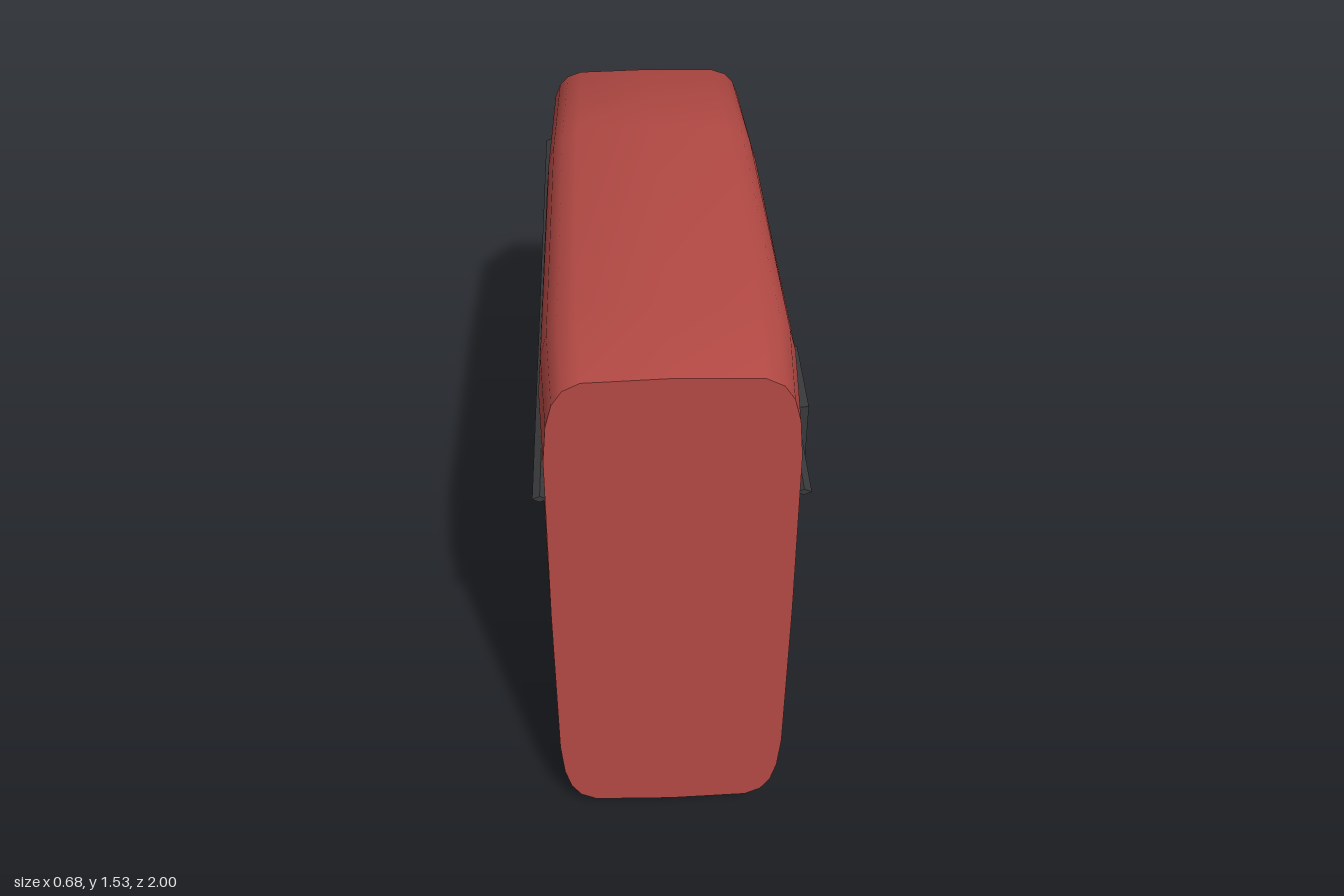
import * as THREE from 'three';
import { toCreasedNormals } from 'three/addons/utils/BufferGeometryUtils.js';

const CENTRE_X = -0.015;
const SEGMENTS = 24;

// Rounded-rectangle cross-sections, front to back: [z, bottom, top, half width]
const SECTIONS = [
  [1, 0.05, 1.51, 0.3],
  [0.75, 0, 1.53, 0.316],
  [-0.27, 0.135, 1.465, 0.316],
  [-0.78, 0.39, 1.4, 0.304],
  [-1, 0.69, 1.275, 0.232],
];

// Loft through superellipse sections, closed by a fan at each end
function bodyGeometry() {
  const positions = [];
  const indices = [];
  const power = (v) => Math.sign(v) * Math.abs(v) ** 0.28;
  for (const [z, bottom, top, half] of SECTIONS) {
    for (let j = 0; j < SEGMENTS; j++) {
      const a = (j / SEGMENTS) * Math.PI * 2;
      let c = Math.cos(a), s = Math.sin(a);
      if (Math.abs(c) < 1e-9) c = 0;
      if (Math.abs(s) < 1e-9) s = 0;
      positions.push(
        half * power(c),
        (top + bottom) / 2 + ((top - bottom) / 2) * power(s),
        z,
      );
    }
  }
  const last = SECTIONS.length - 1;
  const frontCentre = positions.length / 3;
  const backCentre = frontCentre + 1;
  for (const [z, bottom, top] of [SECTIONS[0], SECTIONS[last]]) {
    positions.push(0, (top + bottom) / 2, z);
  }
  for (let j = 0; j < SEGMENTS; j++) {
    const k = (j + 1) % SEGMENTS;
    for (let i = 0; i < last; i++) {
      const a = i * SEGMENTS, b = a + SEGMENTS;
      indices.push(a + j, b + j, a + k, a + k, b + j, b + k);
    }
    indices.push(frontCentre, j, k);
    indices.push(backCentre, last * SEGMENTS + k, last * SEGMENTS + j);
  }
  const geometry = new THREE.BufferGeometry();
  geometry.setAttribute('position', new THREE.Float32BufferAttribute(positions, 3));
  geometry.setIndex(indices);
  return toCreasedNormals(geometry, 0.75);
}

export function createModel() {
  const group = new THREE.Group();
  group.name = 'pod';
  const red = new THREE.MeshStandardMaterial({ color: 0xb54a45 });
  const dark = new THREE.MeshStandardMaterial({ color: 0x3a3a3c });

  const add = (name, geometry, material, x, y, z) => {
    const mesh = new THREE.Mesh(geometry, material);
    mesh.name = name;
    mesh.position.set(x, y, z);
    group.add(mesh);
    return mesh;
  };

  add('body', bodyGeometry(), red, CENTRE_X, 0, 0);

  // Slim diamond-section trim strip along each side
  const strip = new THREE.CylinderGeometry(1, 1, 1.765, 4).rotateX(Math.PI / 2);
  strip.scale(0.018, 0.009, 1);
  const stripGeometry = toCreasedNormals(strip, 0.3);
  for (const side of [1, -1]) {
    add(side > 0 ? 'leftTrimStrip' : 'rightTrimStrip', stripGeometry, dark,
      CENTRE_X + side * 0.311, 1.15, 0.0975);
  }

  // Latch block on the left side
  add('latch', new THREE.BoxGeometry(0.05, 0.16, 0.255), dark, 0.313, 1.108, 0.577);

  return group;
}
